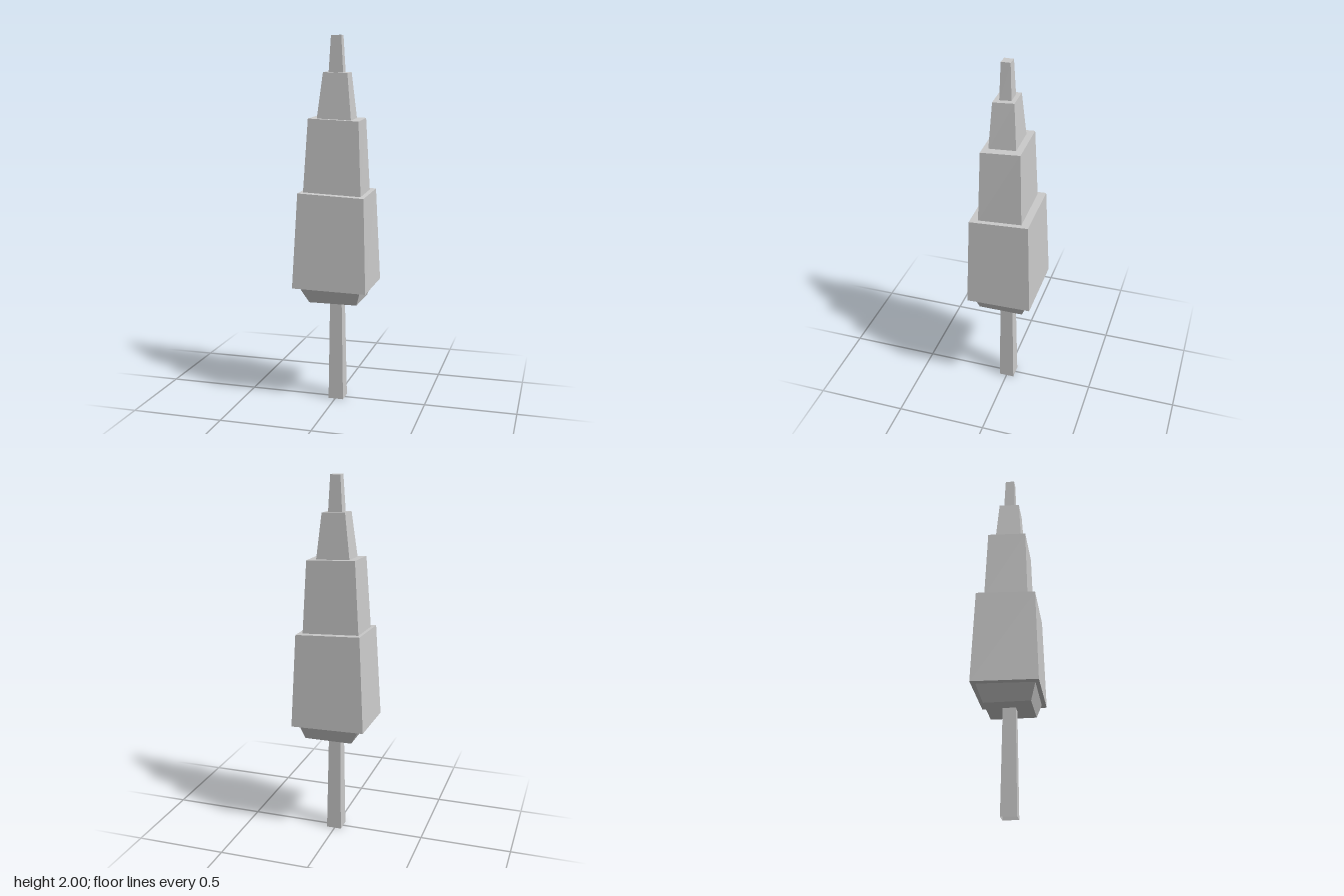
import * as THREE from 'three';

const material = new THREE.MeshStandardMaterial({ color: 0xcccccc, flatShading: true, side: THREE.DoubleSide });

// Four corners of a slightly crooked section: back-left, front-left, front-right, back-right.
// The section leans down towards +x and +z by the given tilt.
function ring({ y, x0, xBack, xFront, z0, z1, tilt = 0 }) {
  return [[x0, z0], [x0, z1], [xFront, z1], [xBack, z0]]
    .map(([x, z]) => [x, y - tilt * (x + z), z]);
}

const section = (y, x0, xBack, xFront, z0, z1, tilt) => ({ y, x0, xBack, xFront, z0, z1, tilt });

// Tapered four-sided block between two sections
function block(name, bottom, top, closedBottom = true) {
  const b = ring(bottom), t = ring(top), pos = [];
  const quad = (p, q, r, s) => pos.push(...p, ...q, ...r, ...p, ...r, ...s);
  for (let i = 0; i < 4; i++) {
    const j = (i + 1) % 4;
    quad(b[i], b[j], t[j], t[i]);
  }
  quad(...t);
  if (closedBottom) quad(b[3], b[2], b[1], b[0]);
  const geometry = new THREE.BufferGeometry();
  geometry.setAttribute('position', new THREE.Float32BufferAttribute(pos, 3));
  geometry.computeVertexNormals();
  const mesh = new THREE.Mesh(geometry, material);
  mesh.name = name;
  return mesh;
}

export function createModel() {
  const group = new THREE.Group();
  group.name = 'steppedTree';
  group.add(
    // Trunk, open at the foot
    block('trunk',
      section(0, -0.038, 0.046, 0.046, -0.043, 0.043),
      section(0.58, -0.03, 0.036, 0.036, -0.032, 0.037), false),
    // Tapered underside of the foliage
    block('foliageBase',
      section(0.572, -0.122, 0.143, 0.143, -0.122, 0.128),
      section(0.66, -0.17, 0.17, 0.17, -0.155, 0.158)),
    // Foliage tiers from widest to narrowest
    block('lowerTier',
      section(0.655, -0.204, 0.203, 0.203, -0.18, 0.178, 0.018),
      section(1.172, -0.175, 0.18, 0.187, -0.16, 0.162, 0.045)),
    block('middleTier',
      section(1.168, -0.157, 0.155, 0.161, -0.117, 0.119, 0.045),
      section(1.565, -0.131, 0.135, 0.145, -0.103, 0.107, 0.045)),
    block('upperTier',
      section(1.561, -0.091, 0.093, 0.097, -0.068, 0.078, 0.045),
      section(1.808, -0.06, 0.067, 0.073, -0.05, 0.063, 0.045)),
    block('tip',
      section(1.804, -0.037, 0.04, 0.043, -0.027, 0.036, 0.045),
      section(2, -0.025, 0.03, 0.031, -0.019, 0.031)),
  );
  return group;
}
